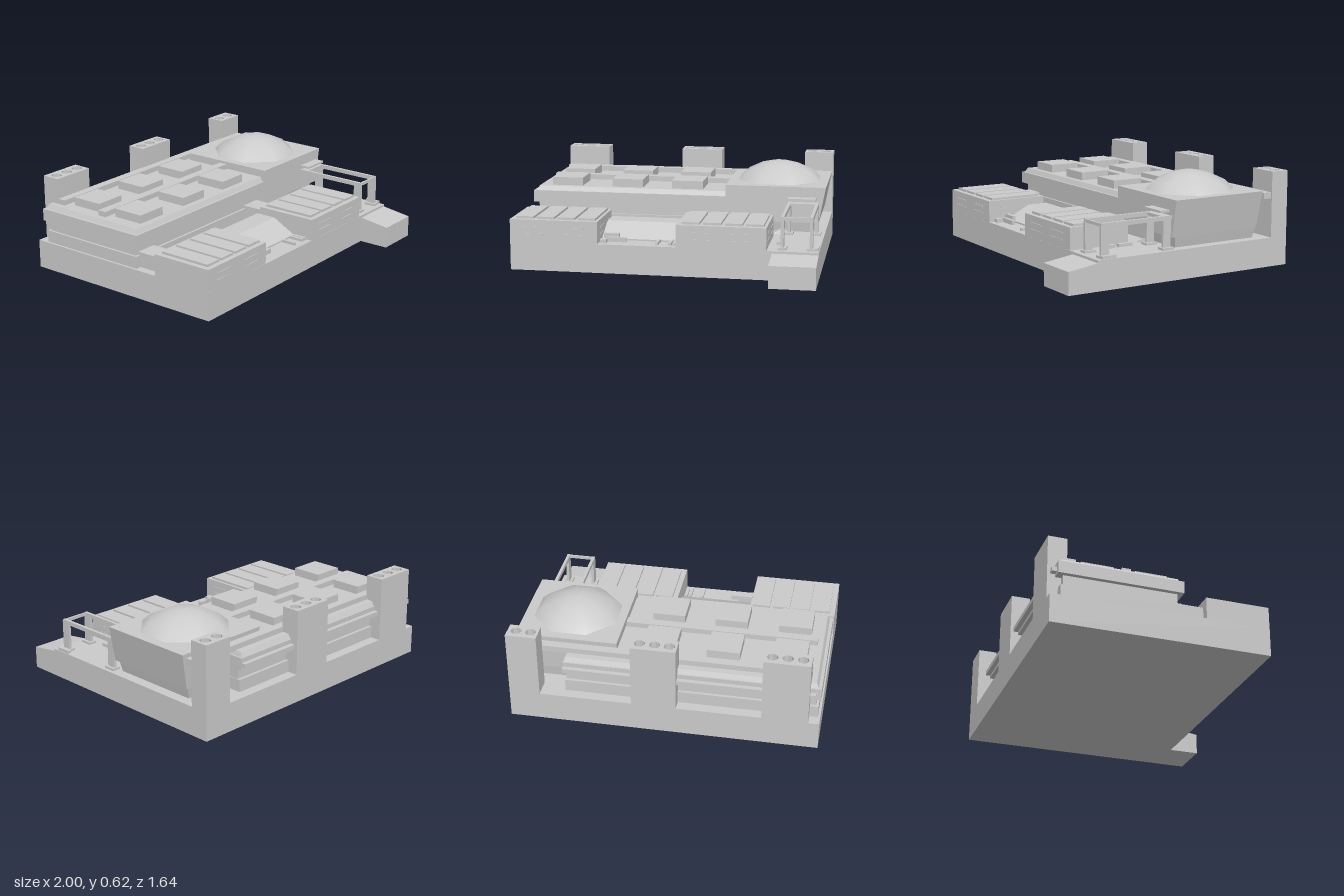
import * as THREE from 'three';

const mat = new THREE.MeshStandardMaterial({ color: 0xcccccc, flatShading: true, side: THREE.DoubleSide });
const smooth = new THREE.MeshStandardMaterial({ color: 0xcccccc, side: THREE.DoubleSide });

export function createModel() {
  const model = new THREE.Group();

  const add = (name, geo, material = mat) => {
    const mesh = new THREE.Mesh(geo, material);
    mesh.name = name;
    model.add(mesh);
    return mesh;
  };
  // Box given by its extents on each axis
  const box = (name, x0, x1, y0, y1, z0, z1) =>
    add(name, new THREE.BoxGeometry(x1 - x0, y1 - y0, z1 - z0)
      .translate((x0 + x1) / 2, (y0 + y1) / 2, (z0 + z1) / 2));
  // Box whose bottom rectangle differs from its top: rect = [x0, x1, z0, z1]
  const taper = (name, y0, bottom, y1, top) => {
    const geo = new THREE.BoxGeometry(1, 1, 1);
    const p = geo.attributes.position;
    for (let i = 0; i < p.count; i++) {
      const up = p.getY(i) > 0, r = up ? top : bottom;
      p.setXYZ(i, r[p.getX(i) < 0 ? 0 : 1], up ? y1 : y0, r[p.getZ(i) < 0 ? 2 : 3]);
    }
    geo.computeVertexNormals();
    return add(name, geo);
  };
  // Side profile of [z, y] points, extruded from x0 to x1
  const profile = (name, pts, x0, x1) => {
    const shape = new THREE.Shape(pts.map(([z, y]) => new THREE.Vector2(-z, y)));
    return add(name, new THREE.ExtrudeGeometry(shape, { depth: x1 - x0, bevelEnabled: false })
      .rotateY(Math.PI / 2).translate(x0, 0, 0));
  };

  // Foundation and entry ramp
  box('foundation', -1, 1, 0, 0.19, -0.82, 0.615);
  profile('entryRamp', [[0.61, 0], [0.82, 0], [0.82, 0.145], [0.61, 0.175]], 0.705, 1);

  // Main hall: recessed wall, stepped bands and bevelled roof
  box('hallWall', -0.97, 0.64, 0.19, 0.42, -0.73, 0.01);
  box('hallPlinth', -0.985, 0.645, 0.19, 0.27, -0.75, 0.025);
  box('hallBand', -1, 0.65, 0.34, 0.42, -0.77, 0.045);
  box('hallRearLedge', -0.97, 0.65, 0.36, 0.39, -0.8, -0.76);
  taper('hallRoof', 0.42, [-0.98, 0.64, -0.76, 0.03], 0.45, [-0.965, 0.63, -0.745, 0.015]);
  box('roofSpine', -0.93, 0.325, 0.44, 0.485, -0.34, -0.28);
  box('rearDuct', -0.93, 0.99, 0.445, 0.485, -0.7, -0.64);
  for (const x of [-0.775, -0.355, 0.06])
    for (const z of [-0.485, -0.13])
      box('roofUnit', x - 0.107, x + 0.107, 0.44, 0.505, z - 0.107, z + 0.107);

  // Chimney stacks with round flues
  const chimney = (x0, x1, flues) => {
    box('chimneyStack', x0, x1, 0.1, 0.56, -0.82, -0.695);
    const rim = new THREE.Shape([[x0, 0.695], [x1, 0.695], [x1, 0.82], [x0, 0.82]]
      .map(([x, y]) => new THREE.Vector2(x, y)));
    for (const x of flues) {
      const hole = new THREE.Path();
      hole.absarc(x, 0.757, 0.036, 0, Math.PI * 2, true);
      rim.holes.push(hole);
      add('flueCone', new THREE.ConeGeometry(0.03, 0.035, 3).translate(x, 0.578, -0.757));
    }
    add('chimneyTop', new THREE.ExtrudeGeometry(rim, { depth: 0.06, bevelEnabled: false, curveSegments: 4 })
      .rotateX(-Math.PI / 2).translate(0, 0.56, 0));
  };
  chimney(-0.93, -0.635, [-0.875, -0.78, -0.685]);
  chimney(-0.09, 0.2, [-0.04, 0.053, 0.15]);
  chimney(0.8, 1, [0.85, 0.945]);

  // Domed tower with walls leaning in toward the ground
  taper('towerBody', 0.26, [0.33, 0.955, -0.605, 0.05], 0.5, [0.33, 1, -0.62, 0.05]);
  taper('towerFoot', 0.19, [0.34, 0.93, -0.595, 0.01], 0.26, [0.34, 0.945, -0.605, 0.02]);
  const domeCurve = [[0.295, 0.5], [0.235, 0.555], [0.13, 0.604], [0.06, 0.62], [0, 0.625]]
    .map(([r, y]) => new THREE.Vector2(r, y));
  add('dome', new THREE.LatheGeometry(domeCurve, 8, Math.PI / 8), smooth).position.set(0.66, 0, -0.285);

  // Front blocks with roof panels, vents and links to the hall
  for (const x0 of [-1, 0.09]) {
    const x1 = x0 + 0.58;
    box('frontBlock', x0, x1, 0.18, 0.335, 0.19, 0.614);
    for (let i = 0; i < 4; i++) {
      const px = x0 + 0.035 + i * 0.137;
      box('roofPanel', px, px + 0.115, 0.33, 0.35, 0.22, 0.58);
    }
    for (const dx of [0.15, 0.42])
      for (const y of [0.235, 0.28])
        box('frontVent', x0 + dx - 0.07, x0 + dx + 0.07, y, y + 0.01, 0.61, 0.618);
    for (const z of [0.3, 0.48])
      for (const y of [0.235, 0.28])
        box('sideVent', x0 + 0.002, x1 + 0.003, y, y + 0.01, z - 0.05, z + 0.05);
    box('linkPassage', x0 + 0.055, x0 + 0.2, 0.18, 0.29, 0.01, 0.2);
  }

  // Sloped bank between the front blocks, with loose slabs below it
  profile('centreBank', [[0.17, 0.18], [0.47, 0.18], [0.47, 0.2], [0.31, 0.285], [0.17, 0.285]], -0.42, 0.09);
  box('crate', -0.4, -0.3, 0.19, 0.24, 0.475, 0.5);
  box('crate', -0.38, -0.25, 0.19, 0.22, 0.505, 0.53);
  box('crate', -0.41, -0.37, 0.19, 0.215, 0.54, 0.58);
  for (const x of [-0.04, 0.045, 0.073])
    box('looseSlab', x - 0.01, x + 0.01, 0.19, 0.208, 0.475, 0.575);

  // Gantry over the entry
  for (const x of [0.765, 0.948]) {
    for (const z of [0.09, 0.54]) {
      box('gantryLeg', x - 0.01, x + 0.01, 0.19, 0.39, z - 0.028, z + 0.028);
      box('gantryFoot', x - 0.028, x + 0.028, 0.18, 0.205, z - 0.04, z + 0.04);
    }
    box('gantryBeam', x - 0.01, x + 0.01, 0.375, 0.402, 0.06, 0.565);
  }
  box('gantryFrontBar', 0.765, 0.948, 0.38, 0.4, 0.552, 0.565);
  box('gantryRearBar', 0.755, 0.958, 0.38, 0.4, 0.055, 0.115);
  box('gantryCanopy', 0.755, 0.94, 0.42, 0.434, 0.06, 0.127);

  // Small debris around the entry
  taper('wedge', 0.18, [0.63, 0.745, 0.05, 0.115], 0.215, [0.7, 0.74, 0.05, 0.1]);
  for (const [x, z] of [[0.73, 0.255], [0.73, 0.38], [0.982, 0.53]])
    box('looseSlab', x - 0.013, x + 0.013, 0.18, 0.21, z - 0.05, z + 0.05);

  return model;
}
